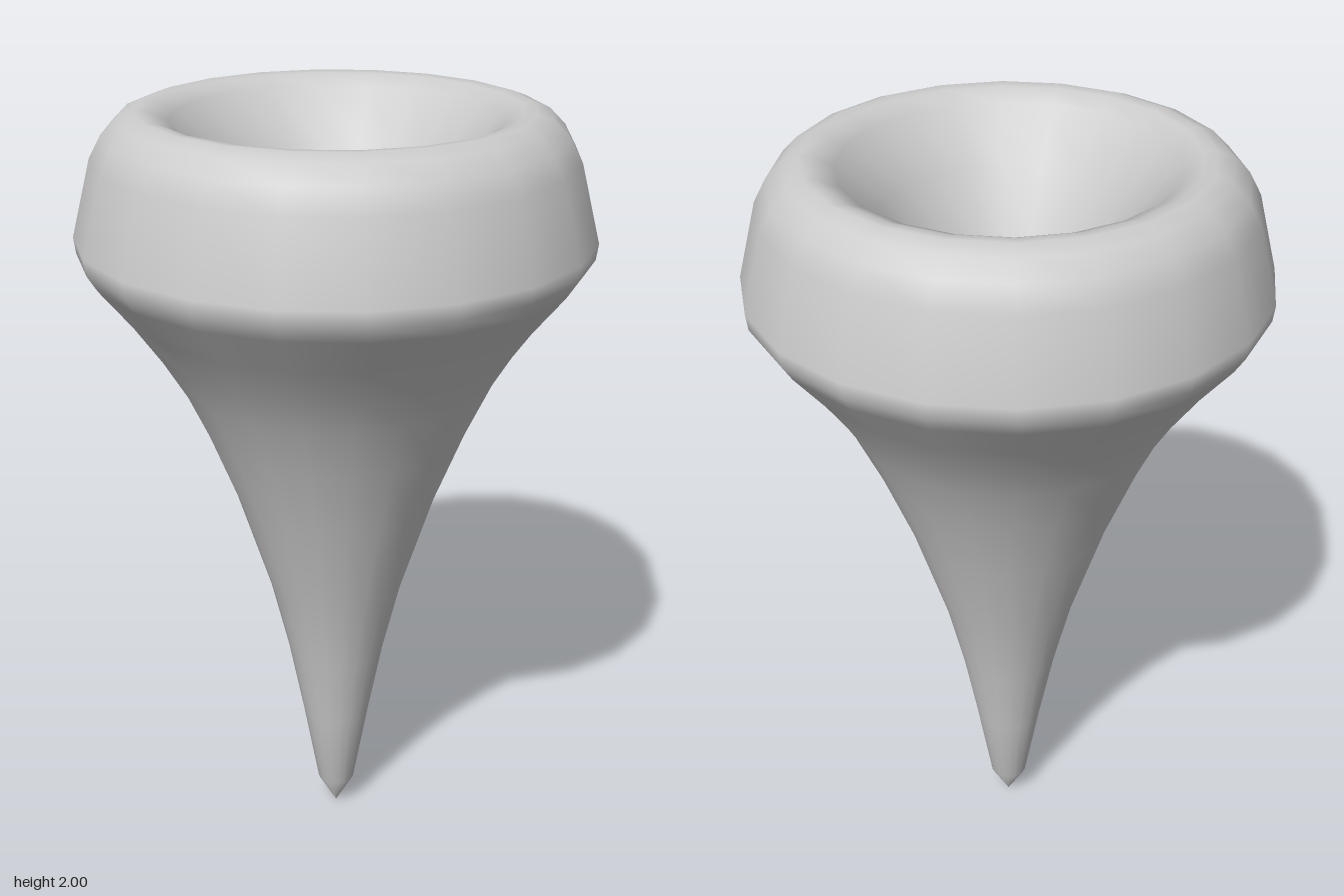
import * as THREE from 'three';

const SIDES = 20;

export function createModel() {
  const group = new THREE.Group();
  group.name = 'hollowSpike';

  // Half profile [radius, height], from the tip up the outside and down into the bowl
  const tip = [[0, 0], [0.05, 0.09]];
  const stem = [[0.09, 0.32], [0.13, 0.53], [0.175, 0.72], [0.26, 0.99], [0.335, 1.18],
    [0.4, 1.32], [0.46, 1.42], [0.53, 1.52], [0.61, 1.62]];
  const collar = [[0.635, 1.66], [0.64, 1.7], [0.59, 1.89], [0.56, 1.945], [0.52, 1.985], [0.48, 2]];
  const bowl = [[0.45, 1.997], [0.4, 1.975], [0.3, 1.85], [0.2, 1.68], [0.12, 1.5], [0, 1.46]];

  const profile = [...tip, ...stem, ...collar, ...bowl].map(([r, y]) => new THREE.Vector2(r, y));
  const body = new THREE.Mesh(
    new THREE.LatheGeometry(profile, SIDES),
    new THREE.MeshStandardMaterial({ color: 0xcccccc })
  );
  body.name = 'spikeBody';
  group.add(body);
  return group;
}
